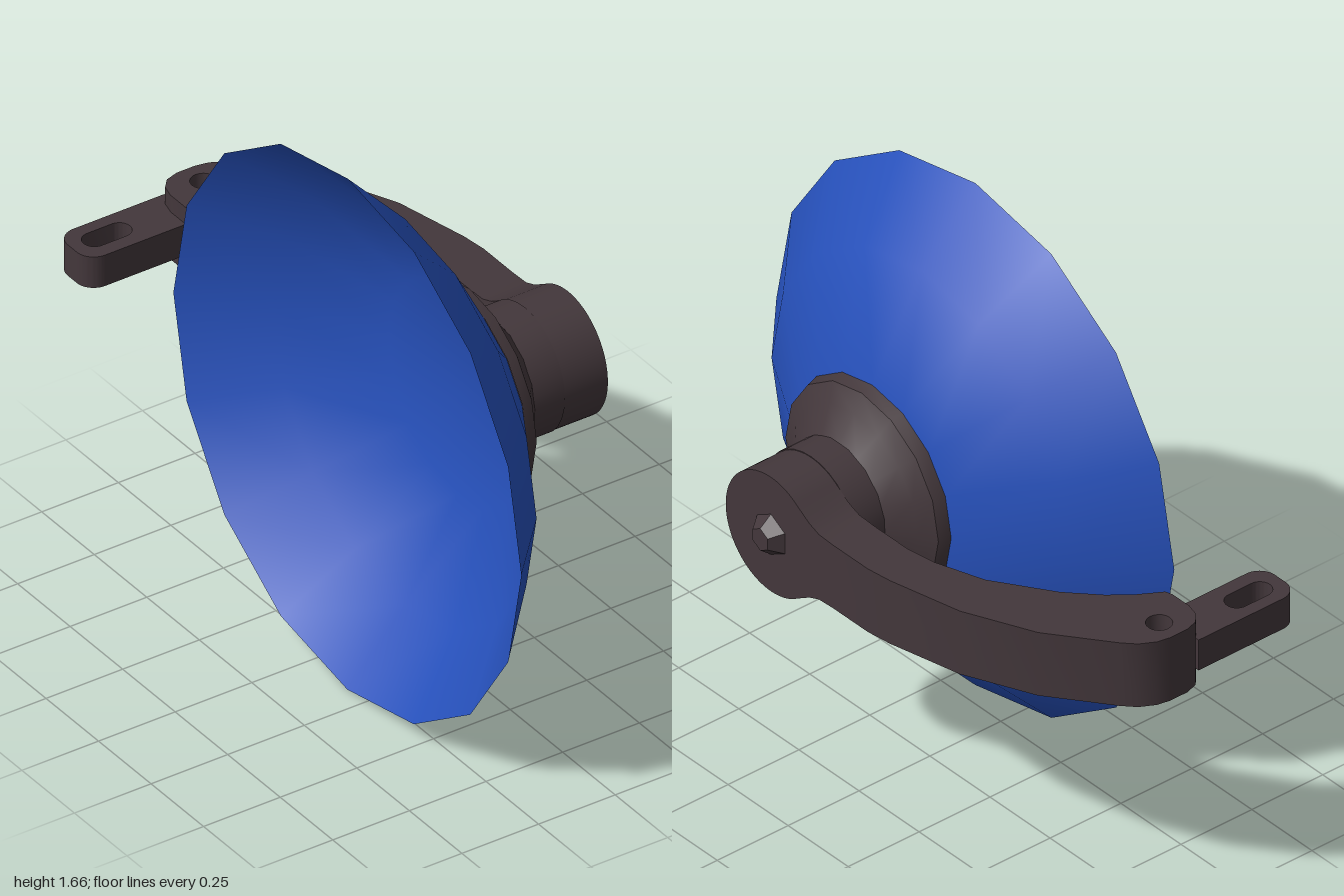
import * as THREE from 'three';
import { toCreasedNormals } from 'three/addons/utils/BufferGeometryUtils.js';

const AXIS_Y = 0.828, AXIS_Z = 0.173;

export function createModel() {
  const group = new THREE.Group();
  const dark = new THREE.MeshStandardMaterial({ color: 0x43373b });
  const blue = new THREE.MeshStandardMaterial({ color: 0x2650ba, side: THREE.DoubleSide });

  function add(name, geometry, material = dark) {
    const mesh = new THREE.Mesh(geometry, material);
    mesh.name = name;
    group.add(mesh);
  }

  // Turned form around the x axis; profile is [radius, x]
  const lathe = (profile, sides) =>
    new THREE.LatheGeometry(profile.map(([r, x]) => new THREE.Vector2(r, x)), sides);
  const onAxis = (geo) => geo.rotateZ(-Math.PI / 2).translate(0, AXIS_Y, AXIS_Z);

  // Plan outline given in [x, z], extruded upwards and centred on the axis height
  function planPart(name, shape, height) {
    const geo = new THREE.ExtrudeGeometry(shape, { depth: height, bevelEnabled: false, curveSegments: 10 });
    geo.rotateX(-Math.PI / 2).translate(0, AXIS_Y - height / 2, 0);
    add(name, toCreasedNormals(geo, 0.6));
  }
  const plan = (pts) => new THREE.Shape(pts.map(([x, z]) => new THREE.Vector2(x, -z)));

  // Shallow open dish with a flat bottom
  const dish = lathe([[0.828, -0.307], [0.625, -0.118], [0.33, 0.054], [0, 0.054]], 16);
  add('dish', onAxis(dish), blue);

  // Collar behind the dish and the round hub
  const collar = lathe([[0.328, 0.056], [0.318, 0.093], [0.265, 0.122], [0.19, 0.175]], 16);
  add('collar', onAxis(toCreasedNormals(collar, 0.5)));
  const hub = lathe([[0.191, 0.165], [0.191, 0.272], [0.15, 0.272]], 32);
  add('hub', onAxis(toCreasedNormals(hub, 0.5)));

  // Round eye of the arm, with a neck narrowing to the arm width
  const eye = new THREE.Shape();
  const a = 0.95;
  eye.absarc(0, 0, 0.188, a, Math.PI * 2 - a, false);
  [[0.16, -0.122], [0.2, -0.107], [0.26, -0.104], [0.26, 0.104], [0.2, 0.107], [0.16, 0.122]]
    .forEach(([x, y]) => eye.lineTo(x, y));
  const eyeGeo = new THREE.ExtrudeGeometry(eye, { depth: 0.142, bevelEnabled: false, curveSegments: 32 });
  eyeGeo.rotateY(Math.PI / 2).translate(0.272, AXIS_Y, AXIS_Z);
  add('armEye', toCreasedNormals(eyeGeo, 0.5));

  // Curved arm with a pivot hole and rounded corners at its far end
  const arm = plan([
    [0.414, -0.087], [0.414, -0.23], [0.404, -0.31], [0.352, -0.54], [0.256, -0.752], [0.12, -0.93],
    [0.085, -0.967], [0.04, -0.992], [0, -1], [-0.06, -1], [-0.1, -0.988], [-0.125, -0.96], [-0.135, -0.92],
    [-0.135, -0.85], [-0.128, -0.828], [-0.06, -0.787], [0.005, -0.735], [0.09, -0.645], [0.206, -0.472],
    [0.258, -0.32], [0.272, -0.23], [0.272, -0.087]]);
  arm.holes.push(new THREE.Path().absarc(-0.023, 0.927, 0.037, 0, Math.PI * 2, true));
  planPart('arm', arm, 0.208);

  // Slotted mounting tab with rounded end corners
  const tab = plan([[-0.1, -1], [-0.1, -0.847]]);
  const c = 0.055, end = -0.453;
  tab.lineTo(end + c, 0.847);
  tab.absarc(end + c, 0.847 + c, c, -Math.PI / 2, -Math.PI, true);
  tab.absarc(end + c, 1 - c, c, Math.PI, Math.PI / 2, true);
  const slot = new THREE.Path();
  slot.absarc(-0.298, 0.926, 0.035, -Math.PI / 2, Math.PI / 2, false);
  slot.absarc(-0.379, 0.926, 0.035, Math.PI / 2, Math.PI * 1.5, false);
  slot.closePath();
  tab.holes.push(slot);
  planPart('mountingTab', tab, 0.1);

  // Tapered hexagonal bolt head; corners point up and down
  const bolt = new THREE.CylinderGeometry(0.036, 0.068, 0.04, 6).toNonIndexed();
  bolt.computeVertexNormals();
  bolt.rotateY(Math.PI / 2).translate(0, 0.432, 0);
  add('bolt', onAxis(bolt));

  return group;
}
